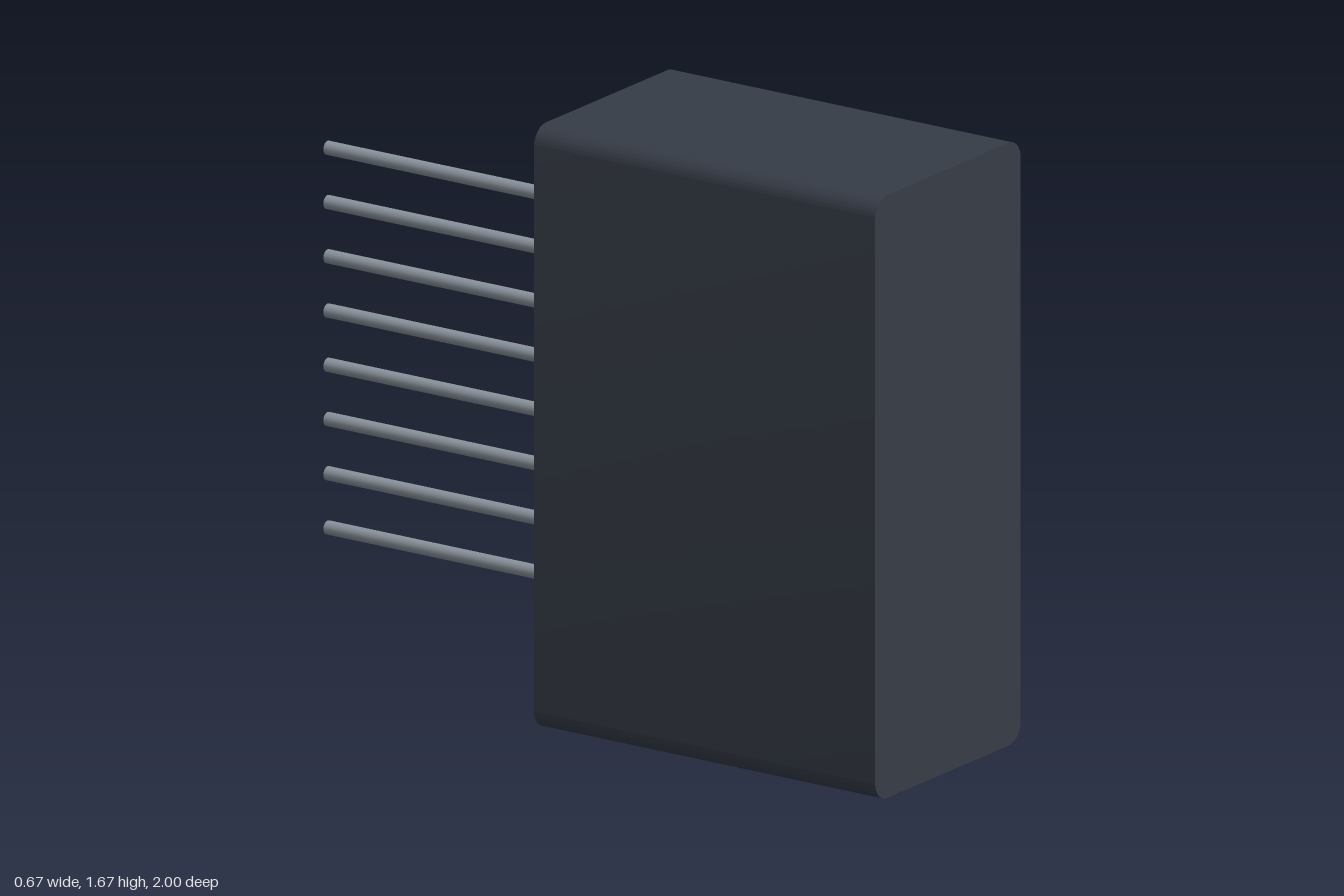
import * as THREE from 'three';
import { toCreasedNormals } from 'three/addons/utils/BufferGeometryUtils.js';

const WIDTH = 0.666, HEIGHT = 1.667, CORNER = 0.055;
const BACK = -0.1, FRONT = 1;
const PIN_COUNT = 8, PIN_RADIUS = 0.019, PIN_PITCH = 0.15, PIN_BASE = 0.31;

function roundedRect(w, h, r) {
  const s = new THREE.Shape();
  s.moveTo(-w / 2 + r, 0);
  s.lineTo(w / 2 - r, 0);
  s.absarc(w / 2 - r, r, r, -Math.PI / 2, 0);
  s.lineTo(w / 2, h - r);
  s.absarc(w / 2 - r, h - r, r, 0, Math.PI / 2);
  s.lineTo(-w / 2 + r, h);
  s.absarc(-w / 2 + r, h - r, r, Math.PI / 2, Math.PI);
  s.lineTo(-w / 2, r);
  s.absarc(-w / 2 + r, r, r, Math.PI, Math.PI * 1.5);
  return s;
}

export function createModel() {
  const model = new THREE.Group();
  model.name = 'pinHeaderBlock';

  const housingMaterial = new THREE.MeshStandardMaterial({ color: 0x363c47 });
  housingMaterial.name = 'darkSlate';
  const pinMaterial = new THREE.MeshStandardMaterial({ color: 0x8a939c });
  pinMaterial.name = 'steelGrey';

  // Housing: rounded rectangle extruded front to back with sharp end rims
  const housingGeometry = toCreasedNormals(
    new THREE.ExtrudeGeometry(roundedRect(WIDTH, HEIGHT, CORNER), {
      depth: FRONT - BACK, bevelEnabled: false, curveSegments: 8,
    }), 0.6);
  const housing = new THREE.Mesh(housingGeometry, housingMaterial);
  housing.name = 'housing';
  housing.position.z = BACK;
  model.add(housing);

  // Pins: one vertical row out of the back, seated slightly in the housing
  const pinFront = BACK + 0.01, pinBack = -1;
  const pinGeometry = new THREE.CylinderGeometry(PIN_RADIUS, PIN_RADIUS, pinFront - pinBack, 16);
  pinGeometry.rotateX(Math.PI / 2);
  const pins = new THREE.Group();
  pins.name = 'pins';
  for (let i = 0; i < PIN_COUNT; i++) {
    const pin = new THREE.Mesh(pinGeometry, pinMaterial);
    pin.name = `pin${i + 1}`;
    pin.position.set(0, PIN_BASE + i * PIN_PITCH, (pinFront + pinBack) / 2);
    pins.add(pin);
  }
  model.add(pins);

  return model;
}
